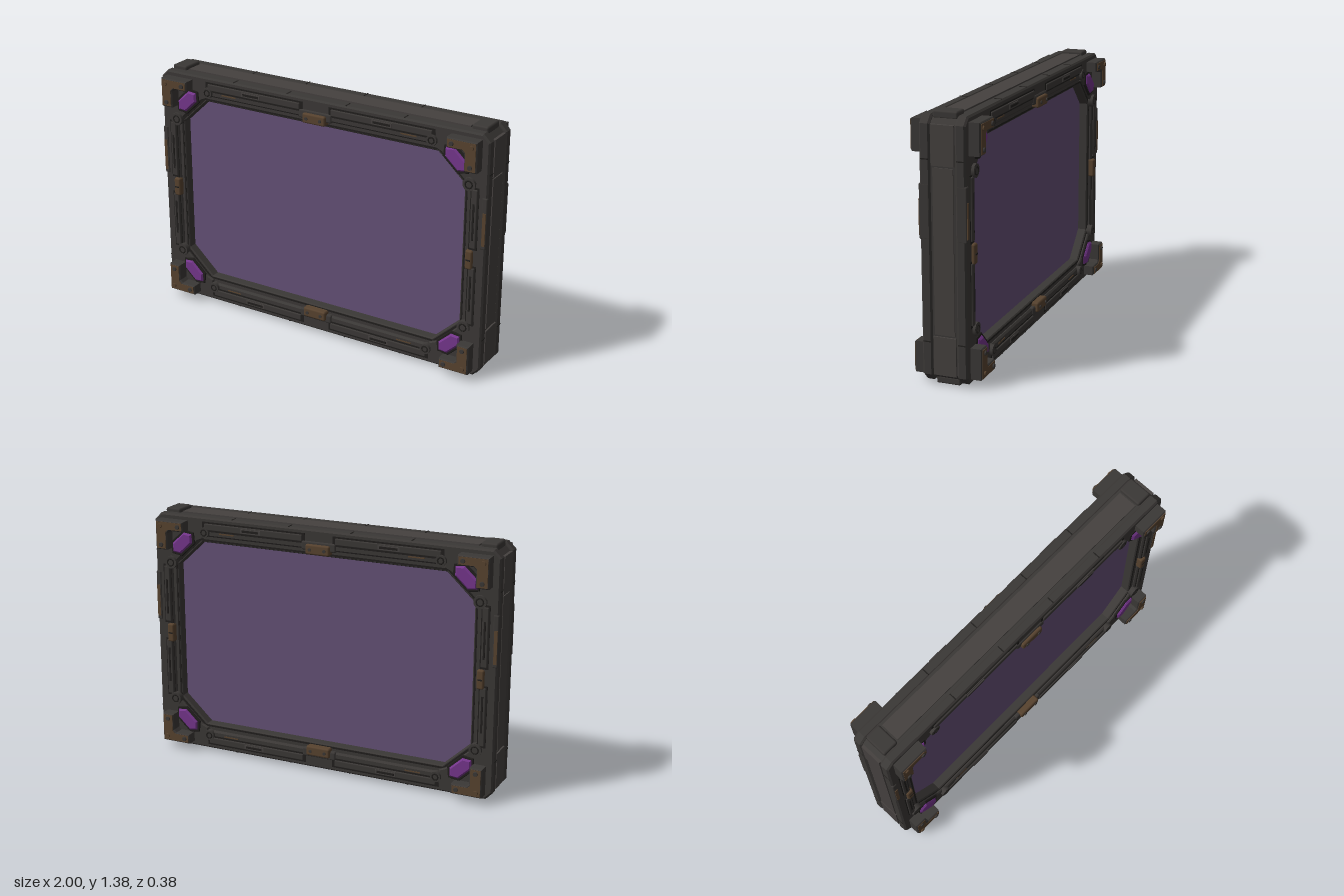
import * as THREE from 'three';
import { RoundedBoxGeometry } from 'three/addons/geometries/RoundedBoxGeometry.js';

const mat = (name, color) => new THREE.MeshStandardMaterial({ name, color });

export function createModel() {
  const iron = mat('dark iron', 0x3b3836);
  const plate = mat('worn iron', 0x45413f);
  const groove = mat('groove black', 0x211f1d);
  const rust = mat('rusted bronze', 0x58432f);
  const glass = mat('violet panel', 0x655177);
  const gem = mat('purple crystal', 0x75368c);

  const add = (parent, name, geo, material, x = 0, y = 0, z = 0) => {
    const m = new THREE.Mesh(geo, material);
    m.name = name;
    m.position.set(x, y, z);
    parent.add(m);
    return m;
  };
  const box = (parent, name, material, w, h, d, x, y, z) =>
    add(parent, name, new THREE.BoxGeometry(w, h, d), material, x, y, z);
  const rounded = (parent, name, material, w, h, d, x, y, z, r = 0.01) =>
    add(parent, name, new RoundedBoxGeometry(w, h, d, 1, r), material, x, y, z);

  // Rectangle with cut corners, given by half sizes
  const octagon = (w, h, cx, cy = cx) => [
    [w, h - cy], [w - cx, h], [cx - w, h], [-w, h - cy],
    [-w, cy - h], [cx - w, -h], [w - cx, -h], [w, cy - h],
  ].map(([x, y]) => new THREE.Vector2(x, y));
  const extrude = (points, hole, depth, bevel = 0) => {
    const shape = new THREE.Shape(points);
    if (hole) shape.holes.push(new THREE.Path(hole));
    return new THREE.ExtrudeGeometry(shape, {
      depth: depth - 2 * bevel, bevelEnabled: bevel > 0, bevelThickness: bevel,
      bevelSize: bevel, bevelOffset: -bevel, bevelSegments: 1,
    }).translate(0, 0, bevel);
  };
  const mirrored = (points, sx, sy) => points.map(([x, y]) => new THREE.Vector2(x * sx, y * sy));
  const opening = octagon(0.865, 0.53, 0.155, 0.145);

  const model = new THREE.Group();
  model.name = 'framedPanel';
  const body = new THREE.Group();
  body.name = 'body';
  body.position.y = 0.69;
  model.add(body);

  // Core ring and the panel filling it
  add(body, 'frameCore', extrude(octagon(0.99, 0.668, 0.045), opening, 0.16), iron, 0, 0, -0.08);
  add(body, 'panel', extrude(octagon(0.88, 0.545, 0.155, 0.145), null, 0.11), glass, 0, 0, -0.055);

  // Cover plates along the rim, with heavier caps at the corners
  for (const s of [-1, 1]) {
    box(body, 'rimPlateLong', plate, 1.72, 0.016, 0.106, 0, s * 0.668, 0);
    box(body, 'rimPlateSide', plate, 0.016, 0.84, 0.106, s * 0.988, 0, 0);
    for (const t of [-1, 1]) {
      rounded(body, 'rimCapLong', iron, 0.09, 0.04, 0.13, s * 0.915, t * 0.67, 0);
      box(body, 'rimCapSide', plate, 0.02, 0.2, 0.12, s * 0.989, t * 0.53, 0);
    }
  }

  // One face of the frame, used for both front and back
  const buildFace = () => {
    const face = new THREE.Group();
    add(face, 'outerBand', extrude(octagon(1, 0.672, 0.04),
      octagon(0.9, 0.565, 0.16, 0.15), 0.055, 0.009), iron, 0, 0, 0.065);
    add(face, 'innerLip', extrude(octagon(0.905, 0.57, 0.16, 0.15), opening, 0.045, 0.005), iron, 0, 0, 0.06);
    add(face, 'lipShadow', extrude(octagon(0.882, 0.547, 0.157, 0.147),
      octagon(0.872, 0.537, 0.155, 0.145), 0.004), groove, 0, 0, 0.1025);

    for (const s of [-1, 1]) {
      // Raised strips with recessed slots on the long and short rails
      for (const t of [-1, 1]) {
        const x = s * 0.39, y = t * 0.622;
        box(face, 'longRecess', groove, 0.62, 0.054, 0.004, x, y, 0.12);
        rounded(face, 'longStrip', iron, 0.59, 0.036, 0.014, x, y, 0.123, 0.005);
        box(face, 'longSlotRim', plate, 0.12, 0.024, 0.004, s * 0.4, y, 0.131);
        box(face, 'longSlot', groove, 0.1, 0.012, 0.004, s * 0.4, y, 0.133);
        box(face, 'sideRecess', groove, 0.048, 0.34, 0.004, s * 0.93, t * 0.215, 0.12);
        rounded(face, 'sideStrip', iron, 0.034, 0.32, 0.014, s * 0.93, t * 0.215, 0.123, 0.005);
        box(face, 'sideSlot', groove, 0.01, 0.2, 0.004, s * 0.93, t * 0.2, 0.131);
        box(face, 'rustPatch', rust, 0.09, 0.007, 0.004, s * 0.55, t * 0.589, 0.12);
        // Joints in the band around the rim
        for (const px of [0.18, 0.52]) box(face, 'rimSeam', groove, 0.006, 0.004, 0.04, s * px, t * 0.672, 0.093);
        box(face, 'sideSeam', groove, 0.004, 0.006, 0.04, s, t * 0.46, 0.093);
      }
      rounded(face, 'sideArmour', iron, 0.03, 0.28, 0.055, s * 0.986, 0.2, 0.098, 0.007);
      box(face, 'sideRust', rust, 0.018, 0.18, 0.004, s * 0.988, 0.17, 0.126);

      // Clips at the middle of each rail
      rounded(face, 'longClipBase', iron, 0.2, 0.05, 0.04, 0, s * 0.585, 0.108);
      rounded(face, 'longClip', rust, 0.14, 0.055, 0.055, 0, s * 0.569, 0.117);
      for (const t of [-1, 1]) {
        add(face, 'clipBolt', new THREE.CylinderGeometry(0.009, 0.009, 0.006, 8).rotateX(Math.PI / 2),
          iron, t * 0.042, s * 0.569, 0.147);
      }
      rounded(face, 'sideClip', rust, 0.04, 0.105, 0.05, s * 0.915, -0.01, 0.113);
      box(face, 'sideClipGroove', groove, 0.024, 0.008, 0.004, s * 0.915, -0.01, 0.138);
    }

    // Corner assemblies
    for (const sx of [-1, 1]) for (const sy of [-1, 1]) {
      const corner = new THREE.Group();
      corner.name = 'corner';
      face.add(corner);
      // Gusset filling the corner behind the crystal
      add(corner, 'gusset', extrude(mirrored([[0.95, 0.62], [0.7, 0.62], [0.7, 0.55], [0.735, 0.535],
        [0.87, 0.41], [0.9, 0.38], [0.95, 0.38]], sx, sy), null, 0.05, 0.006), iron, 0, 0, 0.07);
      // Diagonal crystal in a dark socket
      const hexagon = (l, w) => [[l, 0], [l * 0.6, w], [-l * 0.6, w], [-l, 0], [-l * 0.6, -w], [l * 0.6, -w]]
        .map(([x, y]) => new THREE.Vector2(x, y));
      const angle = -sx * sy * 0.75;
      const socket = add(corner, 'crystalSocket', extrude(hexagon(0.095, 0.05), null, 0.012, 0.003),
        groove, sx * 0.823, sy * 0.517, 0.114);
      const crystal = add(corner, 'crystal', extrude(hexagon(0.08, 0.037), null, 0.02, 0.009),
        gem, sx * 0.823, sy * 0.517, 0.118);
      socket.rotation.z = crystal.rotation.z = angle;

      // Projecting L bracket with a rusted face
      const ell = [[0.96, 0.645], [0.79, 0.645], [0.79, 0.59], [0.875, 0.59],
        [0.89, 0.575], [0.89, 0.482], [0.96, 0.482]];
      add(corner, 'bracket', extrude(mirrored(ell, sx, sy), null, 0.07, 0.006), iron, 0, 0, 0.11);
      const inset = ell.map(([x, y]) => [x + (x > 0.92 ? -0.007 : 0.007), y + (y > 0.6 ? -0.007 : 0.007)]);
      add(corner, 'bracketFace', extrude(mirrored(inset, sx, sy), null, 0.004), rust, 0, 0, 0.179);

      // Hinge knuckles either side of the gusset
      for (const [x, y, r] of [[0.9, 0.4, 0.036], [0.685, 0.59, 0.03]]) {
        add(corner, 'knuckle', new THREE.CylinderGeometry(r, r, 0.05, 10).rotateX(Math.PI / 2),
          iron, sx * x, sy * y, 0.11);
        add(corner, 'knuckleRing', new THREE.TorusGeometry(r * 0.55, 0.004, 4, 10), groove, sx * x, sy * y, 0.135);
      }
      // Bolts on the bracket
      for (const [x, y] of [[0.93, 0.615], [0.82, 0.617], [0.925, 0.51]]) {
        add(corner, 'bracketBolt', new THREE.CylinderGeometry(0.012, 0.014, 0.01, 8).rotateX(Math.PI / 2),
          x === 0.93 ? rust : iron, sx * x, sy * y, 0.185);
      }
    }
    return face;
  };

  const front = buildFace();
  front.name = 'frontFace';
  const back = buildFace();
  back.name = 'backFace';
  back.rotation.y = Math.PI;
  body.add(front, back);
  return model;
}
